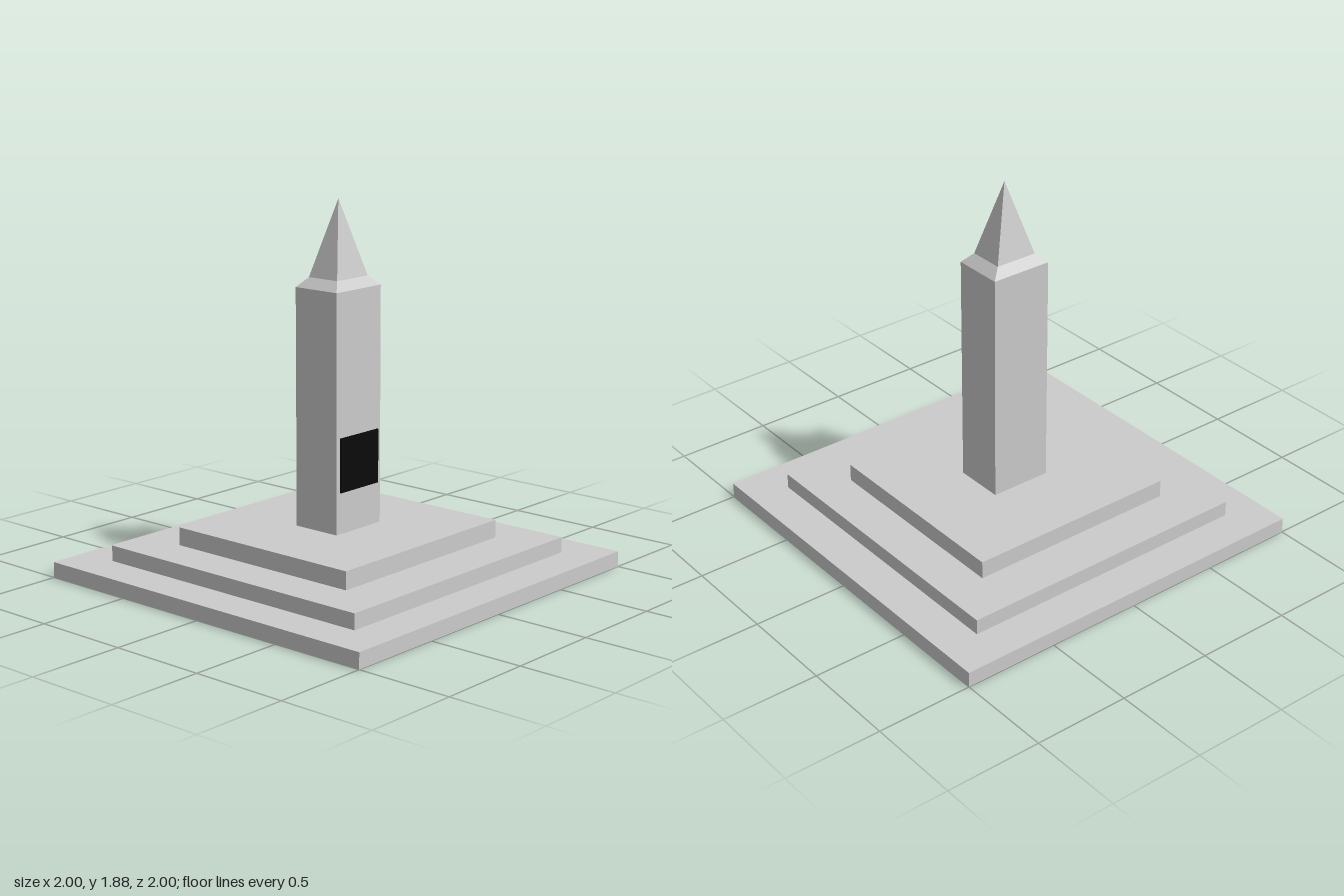
import * as THREE from 'three';

const stone = new THREE.MeshStandardMaterial({ color: 0xcccccc, flatShading: true });
const black = new THREE.MeshStandardMaterial({ color: 0x0a0a0a });

// Box standing between two heights
function block(name, width, depth, y0, y1, material = stone) {
  const mesh = new THREE.Mesh(new THREE.BoxGeometry(width, y1 - y0, depth), material);
  mesh.name = name;
  mesh.position.y = (y0 + y1) / 2;
  return mesh;
}

// Four-sided taper: bottom width and depth, top size as a fraction of the bottom
function taper(name, width, depth, topScale, y0, y1) {
  const r = Math.SQRT1_2;
  const geometry = new THREE.CylinderGeometry(r * topScale, r, y1 - y0, 4, 1, true, Math.PI / 4);
  geometry.scale(width, 1, depth);
  const mesh = new THREE.Mesh(geometry, stone);
  mesh.name = name;
  mesh.position.y = (y0 + y1) / 2;
  return mesh;
}

export function createModel() {
  const model = new THREE.Group();
  model.name = 'obelisk';

  // Stepped base
  model.add(
    block('bottomStep', 2, 2, 0, 0.08),
    block('middleStep', 1.59, 1.59, 0.08, 0.16),
    block('topStep', 1.096, 1.14, 0.16, 0.252)
  );

  // Shaft with its sloped shoulder and pointed cap
  const neck = 0.69;
  model.add(
    block('shaft', 0.264, 0.326, 0.252, 1.453),
    taper('shoulder', 0.264, 0.326, neck, 1.453, 1.5),
    taper('spire', 0.264 * neck, 0.326 * neck, 0, 1.5, 1.88)
  );

  // Dark plaque on the left face
  const plaque = block('plaque', 0.012, 0.278, 0.462, 0.735, black);
  plaque.position.x = 0.135;
  model.add(plaque);

  return model;
}
